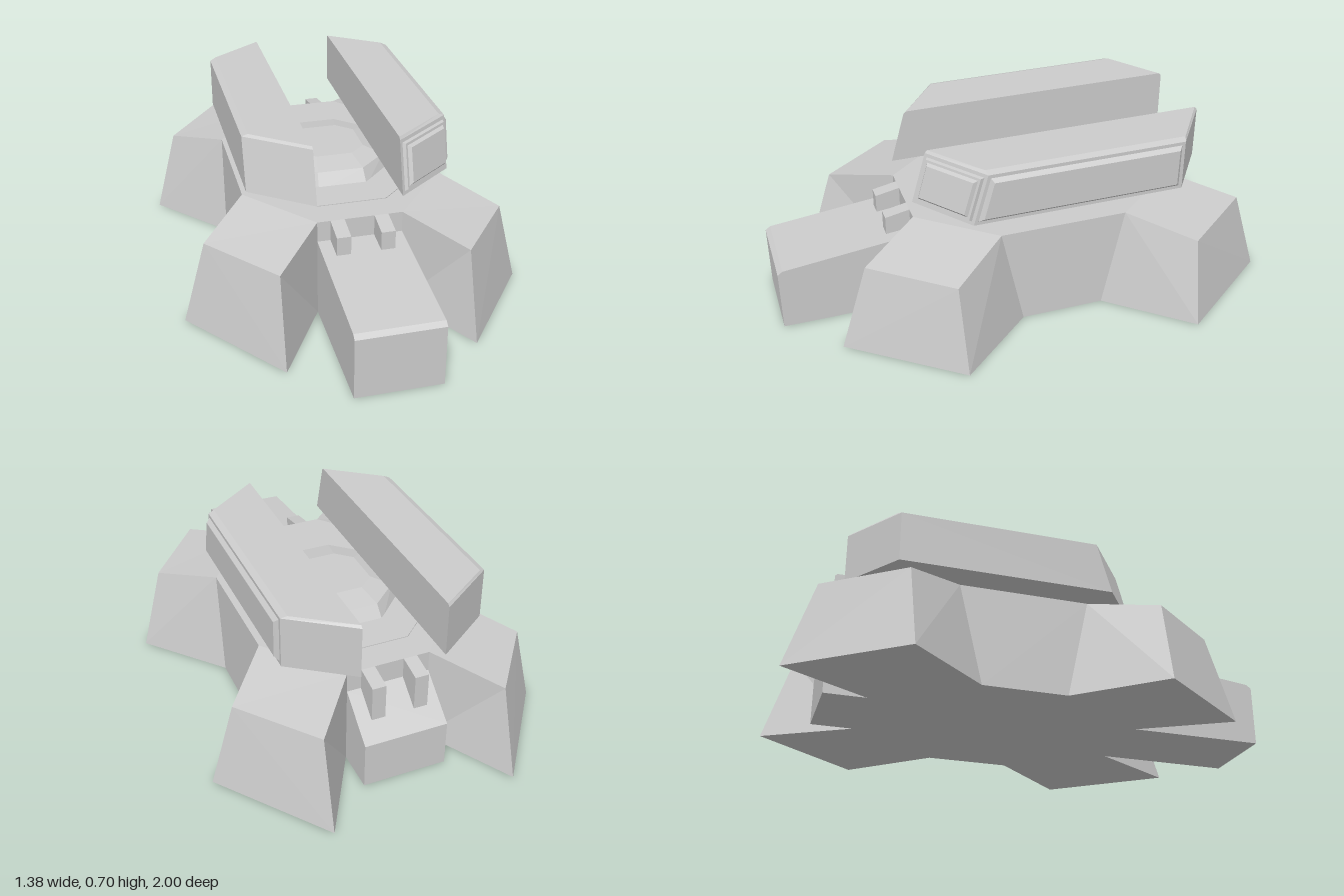
import * as THREE from 'three';

const material = new THREE.MeshStandardMaterial({ color: 0xcccccc, flatShading: true });
const MID = -0.1; // z of the turret's centre

// Skins a stack of equal-length convex loops, caps both ends and faces outward.
function loft(name, loops) {
  const n = loops[0].length, tris = [];
  for (let i = 0; i < loops.length - 1; i++) {
    for (let j = 0; j < n; j++) {
      const k = (j + 1) % n, a = loops[i], b = loops[i + 1];
      tris.push([a[j], a[k], b[k]], [a[j], b[k], b[j]]);
    }
  }
  const first = loops[0], last = loops[loops.length - 1];
  for (let j = 1; j < n - 1; j++) {
    tris.push([first[0], first[j + 1], first[j]], [last[0], last[j], last[j + 1]]);
  }
  const V = (p) => new THREE.Vector3(...p);
  const o = V(first[0]);
  let volume = 0;
  for (const t of tris) {
    const [a, b, c] = t.map((p) => V(p).sub(o));
    volume += a.dot(b.cross(c));
  }
  const points = tris.flatMap((t) => (volume < 0 ? [t[0], t[2], t[1]] : t));
  const geometry = new THREE.BufferGeometry();
  geometry.setAttribute('position', new THREE.Float32BufferAttribute(points.flat(), 3));
  geometry.computeVertexNormals();
  const mesh = new THREE.Mesh(geometry, material);
  mesh.name = name;
  return mesh;
}

// Long octagon: half width, half depth, half length of the side and end edges.
function octagon(y, w, d, side, end) {
  return [[end, d], [w, side], [w, -side], [end, -d], [-end, -d], [-w, -side], [-w, side], [-end, d]]
    .map(([x, z]) => [x, y, MID + z]);
}

// Side profile of [z, y] points, swept across x.
function sweepX(name, profile, x0, x1) {
  return loft(name, [x0, x1].map((x) => profile.map(([z, y]) => [x, y, z])));
}

// Raised panel on a four-cornered face; steps are [margin, height].
function raisedPanel(name, corners, steps) {
  const [p, q, r, s] = corners.map((c) => new THREE.Vector3(...c));
  const normal = q.clone().sub(p).cross(s.clone().sub(p)).normalize();
  const width = p.distanceTo(q), height = p.distanceTo(s);
  const loops = steps.map(([m, h]) => {
    const u = m / width, v = m / height;
    return [[u, v], [1 - u, v], [1 - u, 1 - v], [u, 1 - v]].map(([a, b]) =>
      p.clone().lerp(q, a).lerp(s.clone().lerp(r, a), b).addScaledVector(normal, h).toArray());
  });
  return loft(name, loops);
}

export function createModel() {
  const model = new THREE.Group();
  model.name = 'turret';

  // Central body and shallow deck plate
  model.add(loft('body', [octagon(0, 0.42, 0.55, 0.17, 0.17), octagon(0.41, 0.41, 0.55, 0.26, 0.17)]));
  model.add(loft('deckPlate', [octagon(0.405, 0.28, 0.43, 0.3, 0.14), octagon(0.413, 0.28, 0.43, 0.3, 0.14)]));

  // Four splayed, tapering legs
  const legBottom = [[0.17, 0, 0.55], [0.37, 0, 0.9], [0.69, 0, 0.48], [0.42, 0, 0.17]];
  const legTop = [[0.17, 0.41, 0.55], [0.365, 0.35, 0.79], [0.6, 0.345, 0.49], [0.41, 0.41, 0.26]];
  for (const sx of [1, -1]) {
    for (const sz of [1, -1]) {
      const place = ([x, y, z]) => [sx * x, y, MID + sz * z];
      model.add(loft('leg', [legBottom.map(place), legTop.map(place)]));
    }
  }

  // Front and back ramps
  model.add(sweepX('frontRamp',
    [[0.3, 0], [1, 0], [1, 0.25], [0.98, 0.265], [0.45, 0.325], [0.3, 0.325]], -0.17, 0.17));
  model.add(sweepX('backRamp',
    [[-0.5, 0], [-0.82, 0], [-0.82, 0.19], [-0.65, 0.325], [-0.5, 0.325]], -0.17, 0.17));

  // Small blocks standing at the head of each ramp
  for (const x of [-0.09, 0.085]) {
    for (const s of [1, -1]) {
      const profile = [[0.53, 0.24], [0.65, 0.24], [0.65, 0.39], [0.55, 0.41], [0.53, 0.41]];
      model.add(sweepX('rampBlock', profile.map(([z, y]) => [MID + s * z, y]), x - 0.028, x + 0.028));
    }
  }

  // Low faceted dome
  model.add(loft('dome', [
    octagon(0.4, 0.23, 0.29, 0.16, 0.1),
    octagon(0.46, 0.21, 0.245, 0.14, 0.095),
    octagon(0.48, 0.14, 0.14, 0.08, 0.075),
  ]));

  // Pair of long pods with slanted ends
  for (const s of [1, -1]) {
    const ring = (y, outer, front, frontOuter, back, backOuter) =>
      [[0.17, front], [outer, frontOuter], [outer, backOuter], [0.17, back]].map(([x, z]) => [s * x, y, z]);
    model.add(loft(s > 0 ? 'leftPod' : 'rightPod', [
      ring(0.48, 0.41, 0.45, 0.27, -0.77, -0.6),
      ring(0.69, 0.41, 0.39, 0.21, -0.77, -0.6),
      ring(0.7, 0.385, 0.38, 0.215, -0.76, -0.61),
    ]));
  }

  // Raised panels on the left pod only
  model.add(raisedPanel('podFrontPanel',
    [[0.17, 0.48, 0.45], [0.41, 0.48, 0.27], [0.41, 0.69, 0.21], [0.17, 0.69, 0.39]],
    [[0.012, -0.005], [0.02, 0.012], [0.03, 0.012], [0.04, 0.025]]));
  model.add(raisedPanel('podSidePanel',
    [[0.41, 0.48, 0.27], [0.41, 0.48, -0.6], [0.41, 0.69, -0.6], [0.41, 0.69, 0.21]],
    [[0.01, -0.005], [0.03, 0.016]]));

  return model;
}
